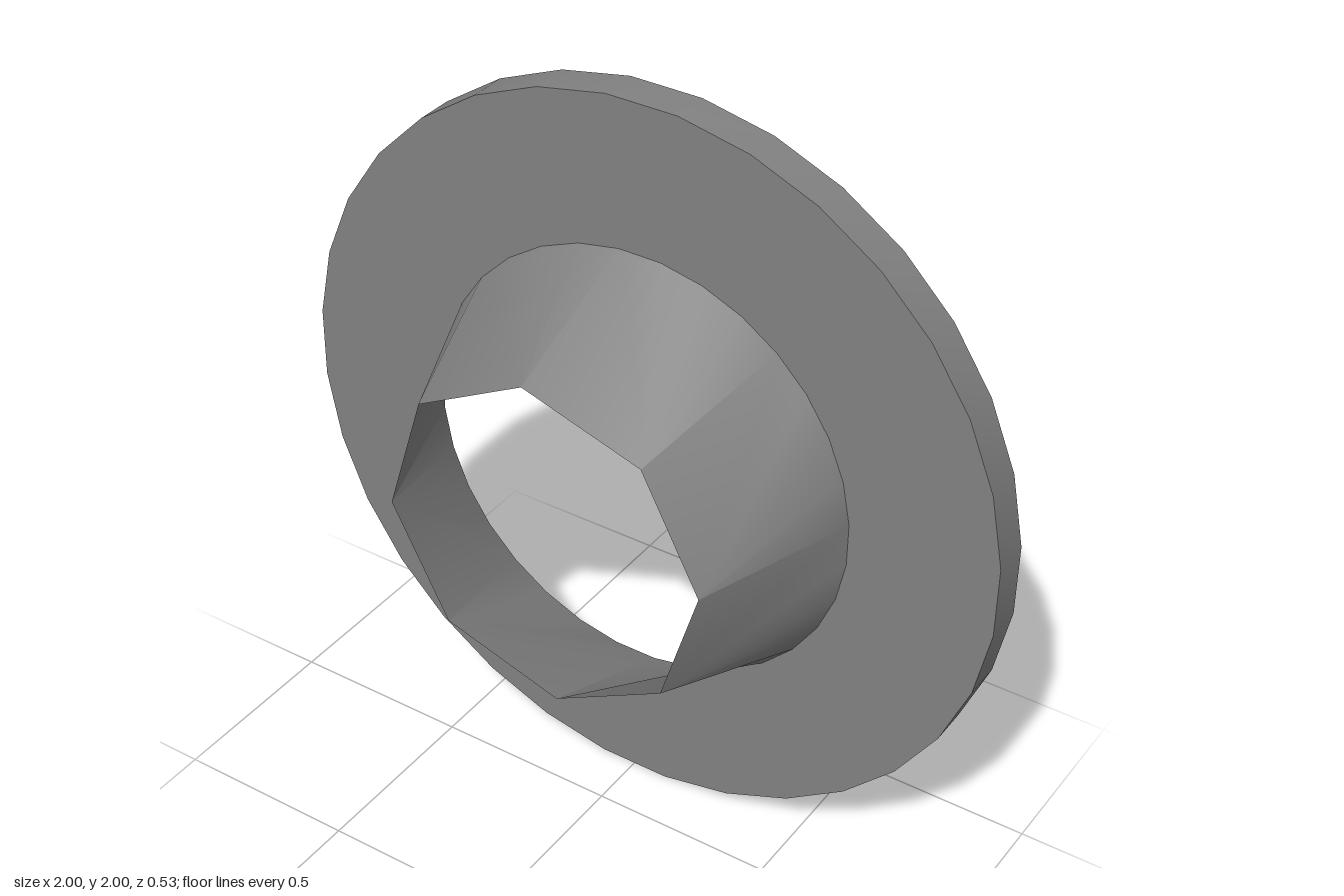
import * as THREE from 'three';
import { toCreasedNormals } from 'three/addons/utils/BufferGeometryUtils.js';

const SIDES = 32, STEP = 4;            // rim sides; rim sides per throat side
const OUTER = 1.005, INNER = 0.605, THROAT = 0.45;
const BACK = -0.265, PLATE = -0.16, FRONT = 0.265;
const DARK_METAL = 0x828282;

// Ring corner i; half a step of turn puts flats at the top and sides
function corner(i, r, z) {
  const a = ((i + 0.5) / SIDES) * Math.PI * 2;
  return [r * Math.cos(a), r * Math.sin(a), z];
}

// Thin dark sheet built from a list of triangles
function surface(name, triangles, crease) {
  const geo = new THREE.BufferGeometry();
  geo.setAttribute('position', new THREE.Float32BufferAttribute(triangles.flat(2), 3));
  const mat = new THREE.MeshStandardMaterial({ color: DARK_METAL, side: THREE.DoubleSide });
  const mesh = new THREE.Mesh(toCreasedNormals(geo, crease), mat);
  mesh.name = name;
  mesh.position.y = 1;
  return mesh;
}

// Band of quads between two rings, wound a -> next a -> next b
function band(rA, zA, rB, zB) {
  const tris = [];
  for (let i = 0; i < SIDES; i++) {
    const a = corner(i, rA, zA), a2 = corner(i + 1, rA, zA);
    const b = corner(i, rB, zB), b2 = corner(i + 1, rB, zB);
    tris.push([a, a2, b2], [a, b2, b]);
  }
  return tris;
}

export function createModel() {
  const group = new THREE.Group();
  group.name = 'flangedCollar';

  // Flat ring plate, and the thin skirt behind it (open at the back)
  group.add(surface('flangePlate', band(OUTER, PLATE, INNER, PLATE), 0.5));
  group.add(surface('flangeSkirt', band(OUTER, BACK, OUTER, PLATE), 0.5));

  // Thin tapered collar: round at the plate, eight-sided at its open mouth
  const collar = [];
  for (let k = 0; k < SIDES; k += STEP) {
    const tip = corner(k, THROAT, FRONT);
    for (let i = k; i < k + STEP; i++) {
      collar.push([corner(i, INNER, PLATE), corner(i + 1, INNER, PLATE), tip]);
    }
    collar.push([corner(k + STEP, INNER, PLATE), corner(k + STEP, THROAT, FRONT), tip]);
  }
  group.add(surface('taperedCollar', collar, 0.6));

  return group;
}
